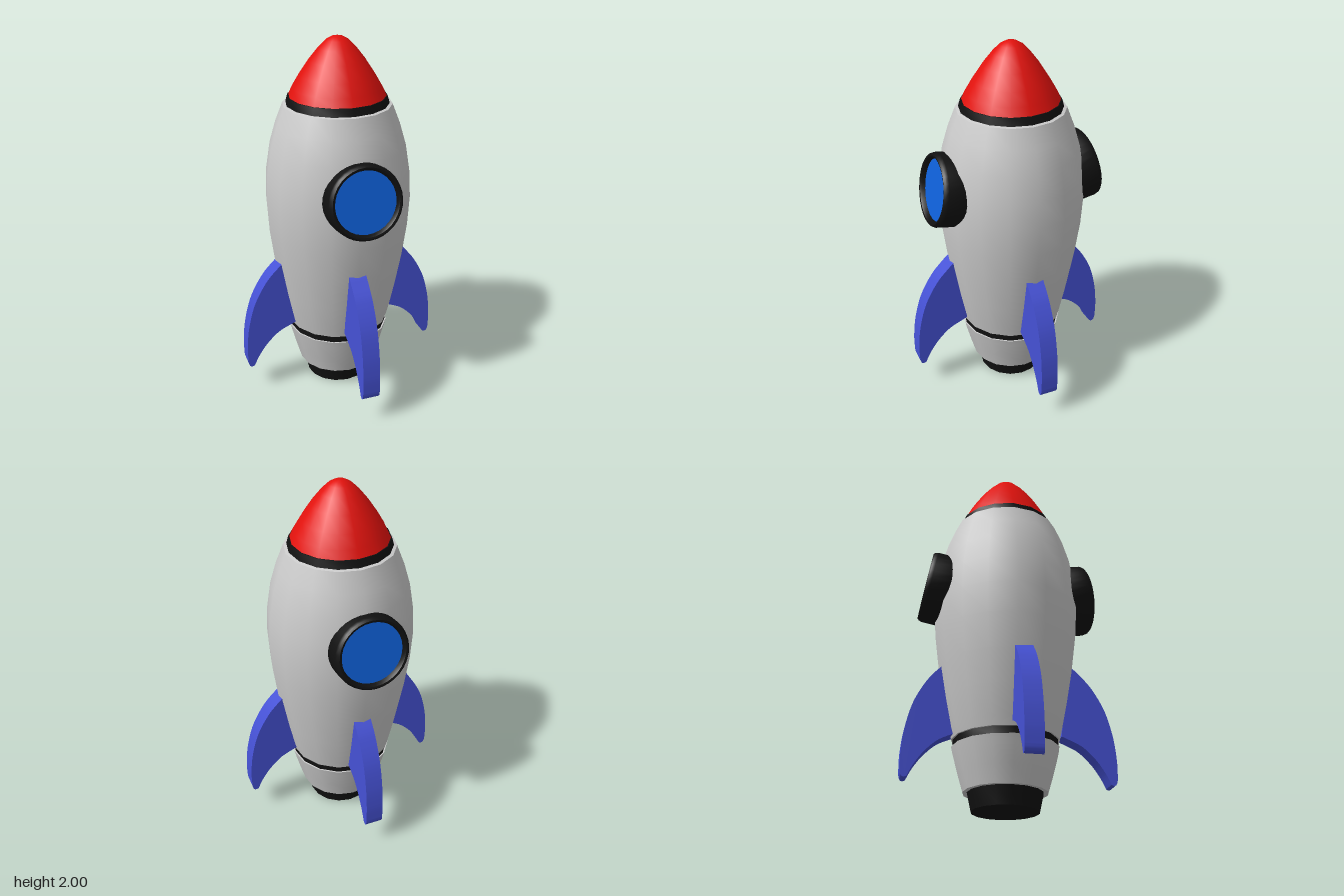
import * as THREE from 'three';
import { toCreasedNormals } from 'three/addons/utils/BufferGeometryUtils.js';

const paint = (color) => new THREE.MeshStandardMaterial({ color });
const grey = paint(0xcccccc);
const black = paint(0x111111);
const red = paint(0xe3120d);
const blue = paint(0x0f62dc);
const violet = paint(0x4652d6);

// Turned part from [radius, height] pairs listed bottom to top
function turned(name, points, material, sides = 16) {
  const profile = points.map(([r, y]) => new THREE.Vector2(r, y));
  const mesh = new THREE.Mesh(
    toCreasedNormals(new THREE.LatheGeometry(profile, sides), 0.6), material);
  mesh.name = name;
  return mesh;
}

// Swept-back fin, drawn in the x-y plane and centred on its thickness
function finGeometry() {
  const s = new THREE.Shape();
  s.moveTo(0.27, 0.4);
  s.lineTo(0.31, 0.8);
  s.lineTo(0.34, 0.79);
  s.splineThru([[0.365, 0.767], [0.44, 0.685], [0.51, 0.56], [0.55, 0.42], [0.566, 0.29], [0.566, 0.19]]
    .map(([x, y]) => new THREE.Vector2(x, y)));
  s.quadraticCurveTo(0.562, 0.135, 0.53, 0.155);
  s.splineThru([[0.5, 0.215], [0.45, 0.285], [0.38, 0.35], [0.295, 0.39]]
    .map(([x, y]) => new THREE.Vector2(x, y)));
  s.closePath();
  const geo = new THREE.ExtrudeGeometry(s, { depth: 0.096, bevelEnabled: false, curveSegments: 12 });
  geo.translate(0, 0, -0.048);
  return toCreasedNormals(geo, 0.6);
}

// Porthole: rounded rim with a recessed glass disc, facing +z
function porthole(name) {
  const g = new THREE.Group();
  g.name = name;
  const rim = turned('portholeRim', [
    [0.19, -0.17], [0.2, -0.15], [0.2, -0.025], [0.195, -0.008], [0.186, 0],
    [0.177, -0.002], [0.17, -0.012], [0.165, -0.04],
  ], black, 32);
  rim.rotation.x = Math.PI / 2;
  const glass = new THREE.Mesh(new THREE.CircleGeometry(0.168, 32), blue);
  glass.name = 'portholeGlass';
  glass.position.z = -0.028;
  g.add(rim, glass);
  return g;
}

export function createModel() {
  const rocket = new THREE.Group();
  rocket.name = 'rocket';

  // Hull, stacked from the nozzle up to the nose
  const hull = new THREE.Group();
  hull.name = 'hull';
  hull.position.z = -0.02;
  hull.rotation.y = -0.025;
  hull.add(
    turned('nozzle', [[0, 0], [0.178, 0], [0.2, 0.1], [0, 0.1]], black),
    turned('skirt', [[0, 0.096], [0.222, 0.096], [0.25, 0.19], [0.278, 0.295], [0.286, 0.33], [0, 0.335]], grey),
    turned('lowerBand', [[0.278, 0.325], [0.278, 0.375]], black),
    turned('body', [
      [0, 0.37], [0.287, 0.37], [0.3, 0.42], [0.333, 0.58], [0.365, 0.76], [0.39, 0.95],
      [0.4, 1.12], [0.392, 1.27], [0.368, 1.42], [0.333, 1.54], [0.292, 1.645], [0.262, 1.652],
    ], grey),
    turned('upperBand', [[0.276, 1.648], [0.264, 1.69], [0, 1.69]], black),
    turned('noseCone', [
      [0, 1.688], [0.26, 1.688], [0.238, 1.735], [0.2, 1.8], [0.15, 1.875],
      [0.1, 1.938], [0.06, 1.978], [0.03, 1.995], [0, 2],
    ], red),
  );
  rocket.add(hull);

  // Portholes front and back, tilted slightly upward
  for (const [name, turn] of [['frontPorthole', 0], ['backPorthole', Math.PI]]) {
    const mount = new THREE.Group();
    mount.name = name + 'Mount';
    mount.position.z = -0.02;
    mount.rotation.y = turn;
    const p = porthole(name);
    p.position.set(0, 1.25, 0.457);
    p.rotation.x = -0.18;
    mount.add(p);
    rocket.add(mount);
  }

  // Four fins, each with a slight sideways offset
  const fin = finGeometry();
  const fins = [
    ['leftFin', 0, 0, -0.006], ['backFin', 1, 0.012, 0],
    ['rightFin', 2, 0, 0.007], ['frontFin', 3, -0.013, 0],
  ];
  for (const [name, quarter, x, z] of fins) {
    const mesh = new THREE.Mesh(fin, violet);
    mesh.name = name;
    mesh.position.set(x, 0, z);
    mesh.rotation.y = quarter * Math.PI / 2;
    rocket.add(mesh);
  }
  return rocket;
}
